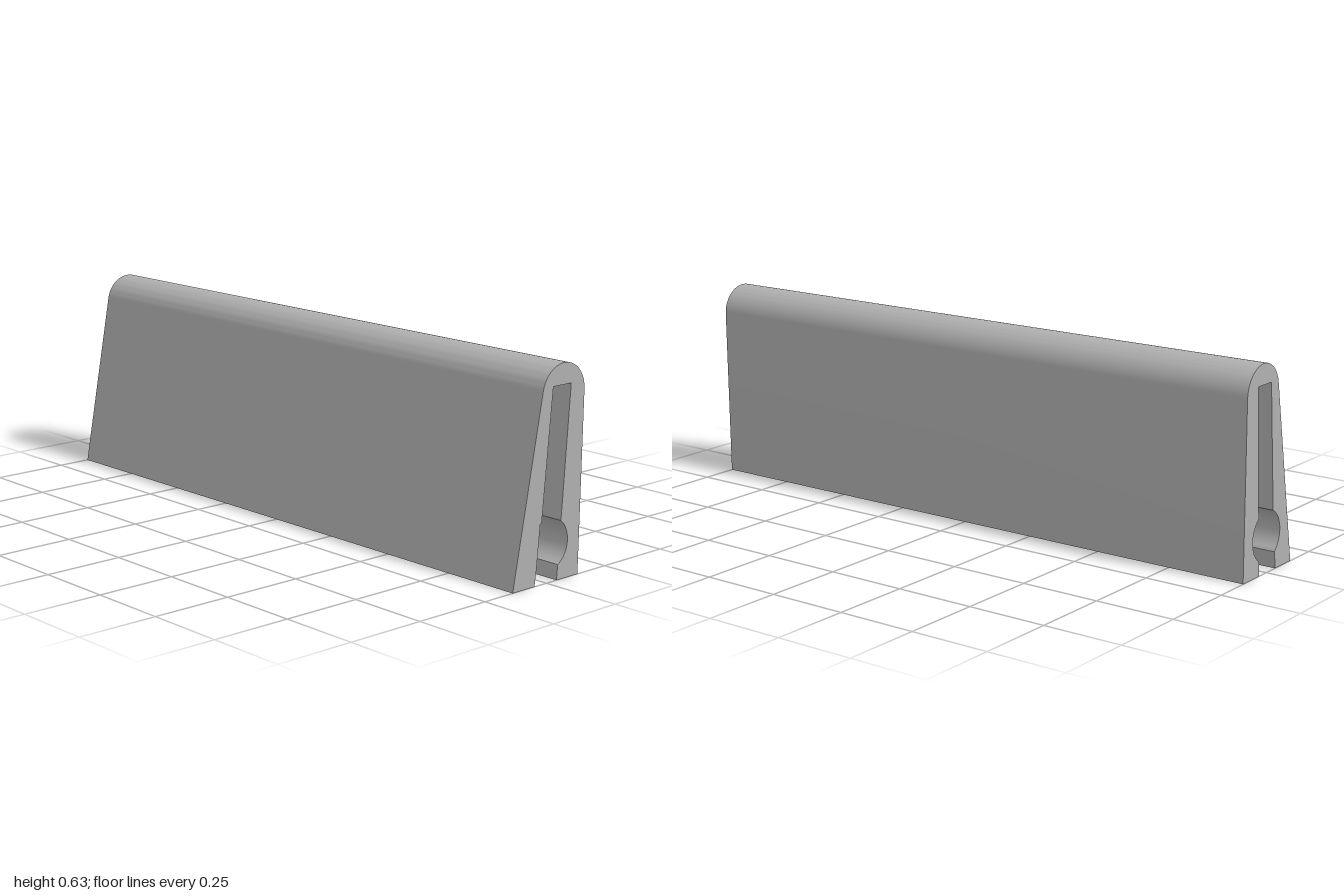
import * as THREE from 'three';
import { toCreasedNormals } from 'three/addons/utils/BufferGeometryUtils.js';

const V2 = (x, y) => new THREE.Vector2(x, y);
const ROOF = 0.565;                     // top of the end slots
const HOLE_Z = 0.79;                    // centre of the tapered holes
const CHANNEL = { x: 0.007, y: 0.112, r: 0.077 };

// Slot side walls at height y, widened by the round channel
const lerp = (a, b, y) => a + (b - a) * y / ROOF;
const bulge = y => Math.sqrt(Math.max(0, CHANNEL.r ** 2 - (y - CHANNEL.y) ** 2));
const leftWall = y => Math.min(lerp(-0.05, 0.022, y), CHANNEL.x - bulge(y));
const rightWall = y => Math.max(lerp(0.042, 0.081, y), CHANNEL.x + bulge(y));

// Heights at which the slot is sampled, denser in the channel
const levels = [0, 0.044, 0.052, 0.173, 0.183, ROOF];
for (let i = 1; i < 20; i++) levels.push(CHANNEL.y + 0.07 * Math.sin((i / 20 - 0.5) * Math.PI));
levels.sort((a, b) => a - b);

// Keyhole plan of one slot at height y, as (x, z) points; s is the end (+1 front, -1 back)
function keyhole(y, s) {
  const c = lerp(-0.004, 0.0515, y), r = lerp(0.088, 0.071, y);
  const L = leftWall(y), R = rightWall(y);
  const start = Math.acos((L - c) / r), end = Math.acos((R - c) / r) + Math.PI * 2;
  const pts = [V2(L, s)];
  for (let i = 0; i <= 36; i++) {
    const a = start + (end - start) * i / 36;
    pts.push(V2(c + r * Math.cos(a), s * (HOLE_Z + r * Math.sin(a))));
  }
  pts.push(V2(R, s));
  return s > 0 ? pts : pts.reverse();
}

// Surface through equal rows of points
function skin(rows) {
  const n = rows[0].length, index = [];
  for (let i = 0; i < rows.length - 1; i++) {
    for (let j = 0; j < n - 1; j++) {
      const a = i * n + j, d = a + n;
      index.push(a, a + 1, d + 1, a, d + 1, d);
    }
  }
  const g = new THREE.BufferGeometry().setFromPoints(rows.flat());
  g.setIndex(index);
  return toCreasedNormals(g, 0.45);
}

const plate = pts => new THREE.ShapeGeometry(new THREE.Shape(pts));

export function createModel() {
  const group = new THREE.Group();
  const grey = new THREE.MeshStandardMaterial({ name: 'grey', color: 0xb0b0b0 });
  const add = (name, geometry) => {
    const mesh = new THREE.Mesh(geometry, grey);
    mesh.name = name;
    group.add(mesh);
    return mesh;
  };

  // Outer profile: sloping side, rounded top, near-upright side
  const outline = [V2(-0.139, 0)];
  for (let i = 0; i <= 32; i++) {
    const a = THREE.MathUtils.degToRad(169.4 - 170.1 * i / 32);
    outline.push(V2(0.051 + 0.0865 * Math.cos(a), 0.541 + 0.0865 * Math.sin(a)));
  }
  outline.push(V2(0.131, 0));
  add('outerShell', skin([1, -1].map(z => outline.map(p => new THREE.Vector3(p.x, p.y, z)))));

  // End faces with the slot cut out
  const face = [
    ...outline,
    ...levels.map(y => V2(rightWall(y), y)),
    ...levels.map(y => V2(leftWall(y), y)).reverse(),
  ];
  add('frontFace', plate(face)).position.z = 1;
  const back = add('backFace', plate(face.map(p => V2(-p.x, p.y))));
  back.position.z = -1;
  back.rotation.y = Math.PI;

  // Underside with a keyhole notch at each end
  add('underside', plate([
    V2(-0.139, 1), ...keyhole(0, 1), V2(0.131, 1),
    V2(0.131, -1), ...keyhole(0, -1), V2(-0.139, -1),
  ]).rotateX(Math.PI / 2));

  // Slot linings and their flat roofs
  for (const [s, end] of [[1, 'front'], [-1, 'back']]) {
    add(end + 'SlotLining', skin(levels.map(y =>
      keyhole(y, s).map(p => new THREE.Vector3(p.x, y, p.y)))));
    add(end + 'SlotRoof', plate(keyhole(ROOF, s)).rotateX(Math.PI / 2)).position.y = ROOF;
  }
  return group;
}
